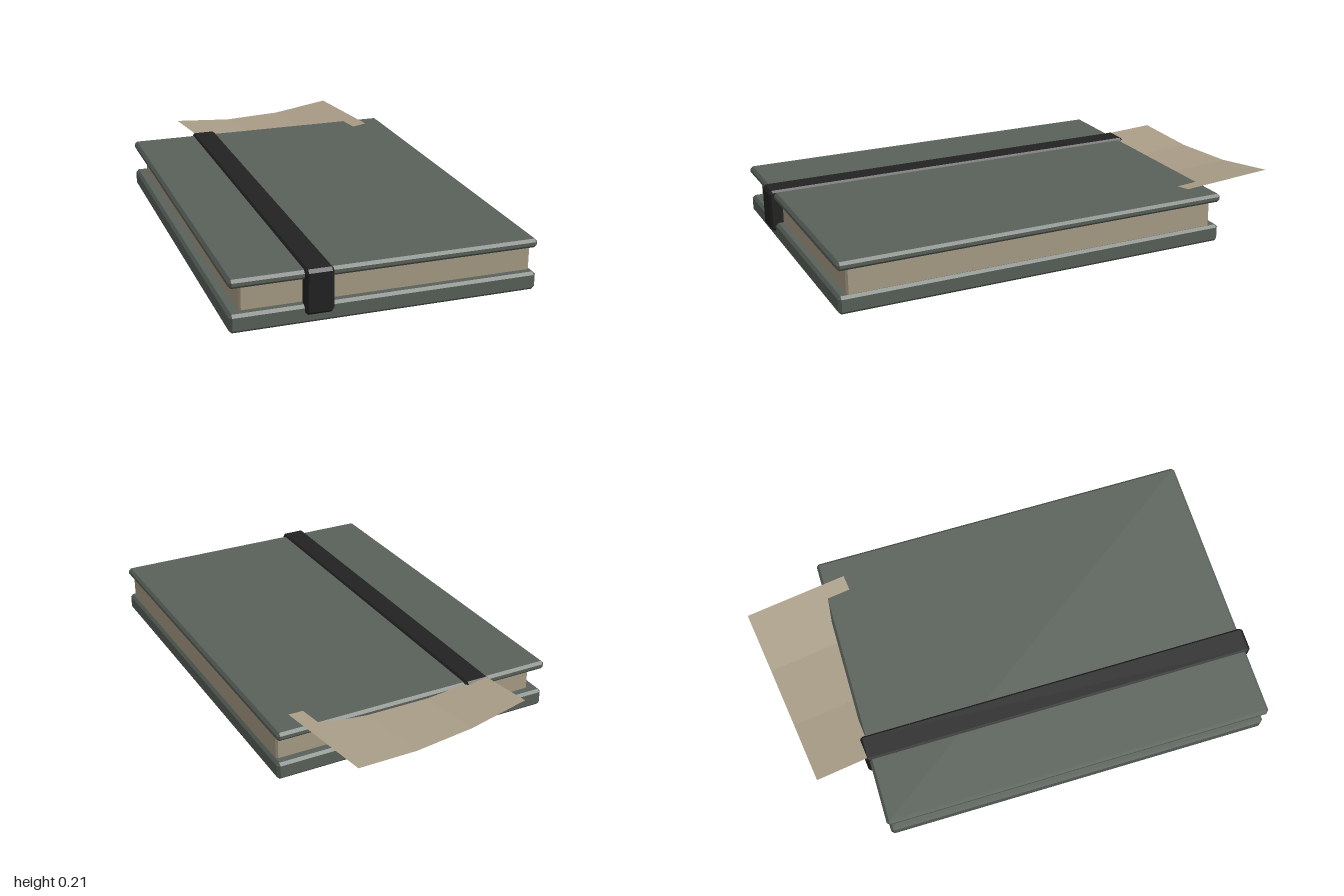
import * as THREE from 'three';
import { ConvexGeometry } from 'three/addons/geometries/ConvexGeometry.js';

const material = (name, color, extra = {}) => {
  const m = new THREE.MeshStandardMaterial({ color, flatShading: true, ...extra });
  m.name = name;
  return m;
};

// Box between two corners with every edge cut by a single chamfer
function chamferBox(min, max, c) {
  const points = [];
  const centre = min.map((v, i) => (v + max[i]) / 2);
  const half = min.map((v, i) => (max[i] - v) / 2);
  for (const sx of [-1, 1]) for (const sy of [-1, 1]) for (const sz of [-1, 1]) {
    for (let full = 0; full < 3; full++) {
      const p = [sx, sy, sz].map((s, i) => centre[i] + s * (half[i] - (i === full ? 0 : c)));
      points.push(new THREE.Vector3(...p));
    }
  }
  return new ConvexGeometry(points);
}

export function createModel() {
  const cover = material('cover green grey', 0x59615a);
  const paper = material('paper beige', 0xa99d87, { side: THREE.DoubleSide });
  const elastic = material('elastic black', 0x222222);

  const group = new THREE.Group();
  group.name = 'notebook';
  const add = (name, geometry, mat) => {
    const mesh = new THREE.Mesh(geometry, mat);
    mesh.name = name;
    group.add(mesh);
  };

  // Thick lower cover, thin upper cover and the page block between them
  add('bottomCover', chamferBox([-0.597, 0.002, -0.66], [0.595, 0.074, 0.975], 0.011), cover);
  add('topCover', chamferBox([-0.597, 0.172, -0.665], [0.595, 0.207, 0.975], 0.011), cover);
  add('pages', chamferBox([-0.553, 0.06, -0.62], [0.582, 0.185, 0.94], 0.008), paper);

  // Elastic band: a flat U hooked over the front and back edges
  const zBack = -0.682, zFront = 0.995, low = 0.04, high = 0.215, c = 0.012, t = 0.058;
  const outline = [
    [zBack + c, high], [zBack, high - c], [zBack, low + c], [zBack + c, low],
    [zBack + t - c, low], [zBack + t, low + c], [zBack + t, 0.19],
    [zFront - t, 0.19], [zFront - t, low + c], [zFront - t + c, low],
    [zFront - c, low], [zFront, low + c], [zFront, high - c], [zFront - c, high],
  ].map(([z, y]) => new THREE.Vector2(z, y));
  const bevel = 0.009, left = -0.214, width = 0.106;
  const band = new THREE.ExtrudeGeometry(new THREE.Shape(outline), {
    depth: width - 2 * bevel, bevelEnabled: true, bevelSegments: 1,
    bevelSize: bevel, bevelThickness: bevel, bevelOffset: -bevel,
  });
  band.rotateY(-Math.PI / 2).translate(left - bevel, 0, 0);
  add('elasticBand', band, elastic);

  // Loose sheet, sagging in three facets so its middle dips into the cover
  const sheet = new THREE.PlaneGeometry(0.79, 0.44, 3, 1).rotateX(-Math.PI / 2);
  const pos = sheet.attributes.position;
  for (let i = 0; i < pos.count; i++) {
    pos.setY(i, Math.abs(pos.getX(i)) > 0.3 ? 0.214 : 0.186);
  }
  sheet.rotateY(0.14).translate(0.081, 0, -0.727);
  sheet.computeVertexNormals();
  add('looseSheet', sheet, paper);

  return group;
}
